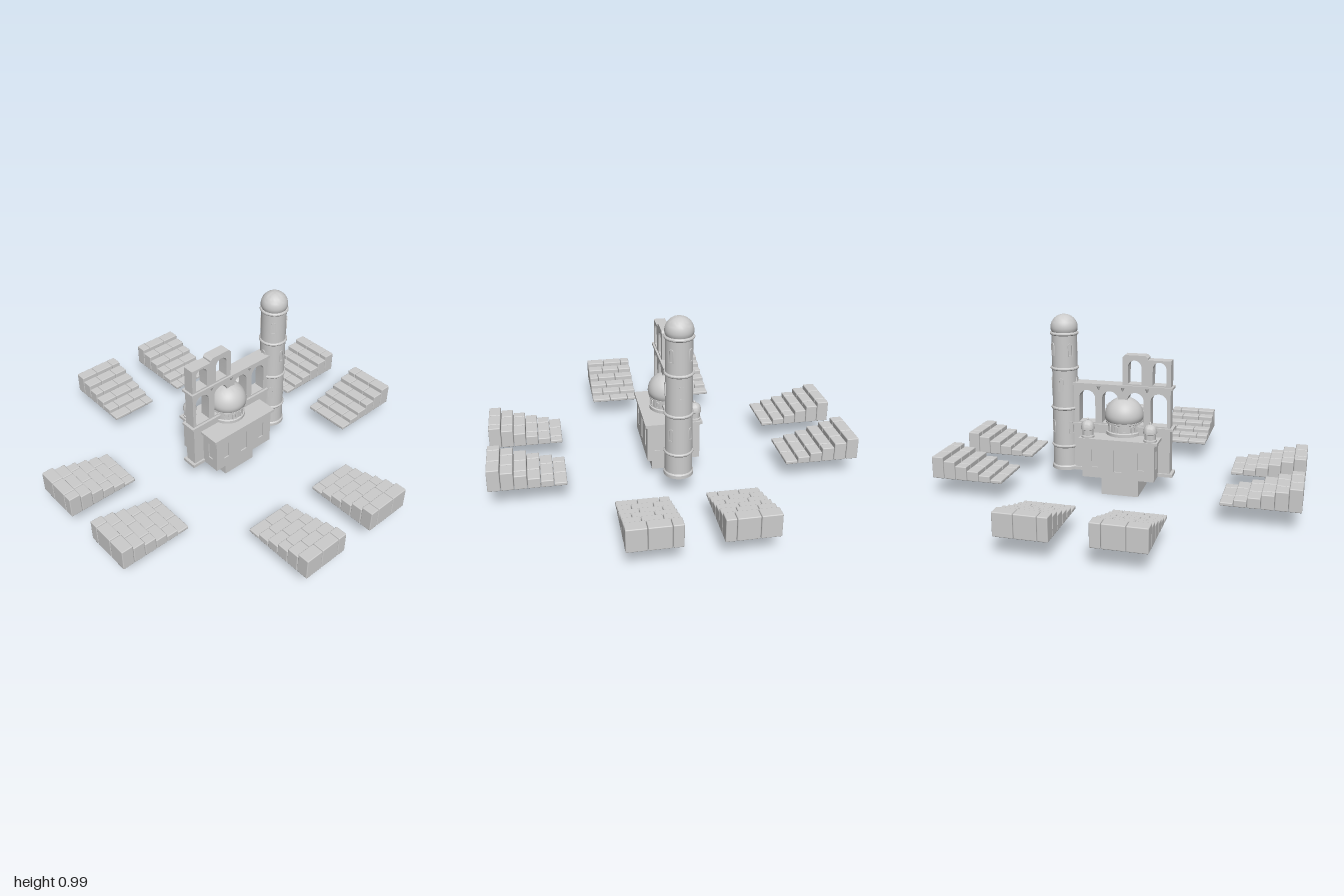
import * as THREE from 'three';
import { RoundedBoxGeometry } from 'three/addons/geometries/RoundedBoxGeometry.js';
import { toCreasedNormals } from 'three/addons/utils/BufferGeometryUtils.js';

const GROUND = 0.11;
const stone = new THREE.MeshStandardMaterial({ color: 0xcccccc, side: THREE.DoubleSide });

function add(parent, name, geometry, x = 0, y = 0, z = 0) {
  const mesh = new THREE.Mesh(geometry, stone);
  mesh.name = name;
  mesh.position.set(x, y, z);
  parent.add(mesh);
  return mesh;
}

function group(parent, name, x = 0, y = 0, z = 0) {
  const g = new THREE.Group();
  g.name = name;
  g.position.set(x, y, z);
  parent.add(g);
  return g;
}

// Box given by its extents
function block(parent, name, x0, x1, y0, y1, z0, z1) {
  return add(parent, name, new THREE.BoxGeometry(x1 - x0, y1 - y0, z1 - z0),
    (x0 + x1) / 2, (y0 + y1) / 2, (z0 + z1) / 2);
}

function lathe(points, segments = 32) {
  const profile = points.map(([r, y]) => new THREE.Vector2(r, y));
  return toCreasedNormals(new THREE.LatheGeometry(profile, segments), 0.6);
}

// Dome profile: quarter ellipse from its widest ring up to the crown
function domeArc(r, y, h, n = 10) {
  return Array.from({ length: n + 1 }, (_, i) => {
    const a = (i / n) * Math.PI / 2;
    return [i === n ? 0 : r * Math.cos(a), y + h * Math.sin(a)];
  });
}

function rectangle(x0, x1, y0, y1, Type = THREE.Shape) {
  const s = new Type();
  s.moveTo(x0, y0);
  s.lineTo(x1, y0);
  s.lineTo(x1, y1);
  s.lineTo(x0, y1);
  s.closePath();
  return s;
}

// Round-headed opening
function arch(cx, w, y0, top, Type = THREE.Path) {
  const s = new Type();
  s.moveTo(cx - w / 2, y0);
  s.lineTo(cx + w / 2, y0);
  s.lineTo(cx + w / 2, top - w / 2);
  s.absarc(cx, top - w / 2, w / 2, 0, Math.PI, false);
  s.closePath();
  return s;
}

function pierced(shape, holes, depth) {
  shape.holes.push(...holes);
  const g = new THREE.ExtrudeGeometry(shape, { depth, bevelEnabled: false, curveSegments: 10 });
  return toCreasedNormals(g.translate(0, 0, -depth / 2), 0.6);
}

function frame(w, h, border, depth) {
  return pierced(arch(0, w, -h / 2, h / 2, THREE.Shape),
    [arch(0, w - 2 * border, -h / 2 + border, h / 2 - border)], depth);
}

// Flight of masonry steps, tallest course on the outside
function buildSteps(parent, name, mirror) {
  const steps = group(parent, name);
  const heights = [0.123, 0.102, 0.079, 0.057, 0.038, 0.019];
  const widths = [[0.105, 0.115], [0.09, 0.105], [0.055, 0.11], [0.1, 0.115], [0.07, 0.11], [0.11, 0.11]];
  const total = 0.275, run = 0.41 / 6;
  heights.forEach((h, row) => {
    const [a, b] = widths[row];
    let x = -0.37;
    for (const w of [a, b, total - a - b]) {
      const g = new RoundedBoxGeometry(w - 0.002, h, run - 0.002, 2, 0.005);
      add(steps, 'stepBlock', g, mirror * (x + w / 2), GROUND - 0.003 + h / 2, 1 - run * (row + 0.5));
      x += w;
    }
  });
  return steps;
}

function buildHall(parent) {
  const hall = group(parent, 'prayerHall');
  block(hall, 'pedestal', -0.105, 0.105, 0, GROUND, -0.105, 0.105);
  block(hall, 'hallCore', -0.196, 0.196, GROUND, 0.325, -0.136, 0.136);
  block(hall, 'roofSlab', -0.22, 0.22, 0.32, 0.335, -0.156, 0.156);
  block(hall, 'roofMoulding', -0.207, 0.207, 0.31, 0.32, -0.148, 0.148);
  // Facings with niches and a central doorway
  const niche = (x, w, y0, y1) => rectangle(x - w / 2, x + w / 2, y0, y1, THREE.Path);
  for (const s of [1, -1]) {
    const facade = pierced(rectangle(-0.203, 0.203, GROUND, 0.32),
      [niche(-0.13, 0.035, 0.17, 0.27), niche(0, 0.045, 0.15, 0.275), niche(0.13, 0.035, 0.17, 0.27)], 0.008);
    add(hall, s > 0 ? 'frontFacing' : 'backFacing', facade, 0, 0, s * 0.14);
    const side = pierced(rectangle(-0.14, 0.14, GROUND, 0.32),
      [niche(-0.09, 0.03, 0.17, 0.27), niche(0.09, 0.03, 0.17, 0.27)], 0.007);
    add(hall, 'sideFacing', side, s * 0.1995).rotation.y = Math.PI / 2;
  }
  // Main dome on its windowed drum
  add(hall, 'domeDrum', lathe([[0, 0.335], [0.1, 0.335], [0.1, 0.352], [0.092, 0.356], [0.092, 0.398],
    [0.101, 0.402], [0.101, 0.41], [0.09, 0.412]]));
  add(hall, 'mainDome', lathe([[0.095, 0.405], [0.105, 0.42], ...domeArc(0.108, 0.438, 0.104, 14)], 40));
  for (let i = 0; i < 12; i++) {
    const a = (i + 0.5) / 12 * Math.PI * 2;
    add(hall, 'drumWindow', frame(0.024, 0.038, 0.005, 0.008), 0.093 * Math.sin(a), 0.378, 0.093 * Math.cos(a)).rotation.y = a;
  }
  // Small rear turrets
  for (const s of [-1, 1]) {
    add(hall, 'turret', lathe([[0, 0.335], [0.036, 0.335], [0.036, 0.345], [0.031, 0.348], [0.031, 0.378],
      [0.038, 0.382], [0.038, 0.39], ...domeArc(0.037, 0.394, 0.037, 8).slice(0, -1), [0.006, 0.431], [0.006, 0.438], [0, 0.447]], 24),
      s * 0.175, 0, -0.118);
  }
}

function buildArcade(parent) {
  const arcade = group(parent, 'arcadeWall', 0, 0, -0.003);
  block(arcade, 'wallFoot', -0.285, 0.285, GROUND, 0.128, -0.045, 0.045);
  block(arcade, 'lowerWall', -0.268, 0.28, 0.128, 0.375, -0.034, 0.034);
  block(arcade, 'lowerCornice', -0.285, 0.285, 0.375, 0.388, -0.045, 0.045);
  block(arcade, 'upperCornice', -0.28, 0.285, 0.604, 0.617, -0.043, 0.043);
  const openings = [-0.203, -0.072, 0.072, 0.203].map((x) => arch(x, 0.092, 0.395, 0.577));
  add(arcade, 'archTier', pierced(rectangle(-0.268, 0.28, 0.385, 0.606), openings, 0.064));
  // Corbels below the upper cornice
  for (const x of [-0.137, 0, 0.137]) for (const s of [-1, 1]) {
    const corbel = new THREE.CylinderGeometry(0.012, 0.003, 0.022, 8);
    add(arcade, 'corbel', corbel, x, 0.593, s * 0.033);
  }
  // Surviving bays of the broken top tier
  const ruin = new THREE.Shape();
  ruin.moveTo(-0.268, 0.615);
  for (const [x, y] of [[0, 0.615], [0, 0.772], [-0.012, 0.785], [-0.125, 0.785],
    [-0.14, 0.772], [-0.14, 0.762], [-0.268, 0.762]]) ruin.lineTo(x, y);
  ruin.closePath();
  add(arcade, 'ruinedTier', pierced(ruin, [arch(-0.205, 0.075, 0.625, 0.752), arch(-0.067, 0.075, 0.625, 0.757)], 0.064));
}

function buildMinaret(parent) {
  const tower = group(parent, 'minaret', 0.342, 0, 0);
  add(tower, 'towerShaft', lathe([[0, GROUND], [0.079, GROUND], [0.079, 0.128], [0.073, 0.135],
    [0.07, 0.89], [0, 0.89]]));
  for (const y of [0.247, 0.467, 0.692, 0.886]) {
    add(tower, 'towerRing', lathe([[0.068, y - 0.009], [0.075, y - 0.008], [0.079, y - 0.003],
      [0.079, y + 0.003], [0.075, y + 0.008], [0.068, y + 0.009]]));
  }
  add(tower, 'towerCap', lathe([[0.068, 0.892], [0.074, 0.905], ...domeArc(0.075, 0.917, 0.073)]));
  // Slit windows around each storey
  [0.36, 0.605, 0.8].forEach((y, storey) => {
    for (let i = 0; i < 4; i++) {
      const a = i * Math.PI / 2 + (storey === 1 ? 0 : Math.PI / 4);
      add(tower, 'slitWindow', frame(0.028, 0.072, 0.005, 0.008),
        0.0705 * Math.sin(a), y, 0.0705 * Math.cos(a)).rotation.y = a;
    }
  });
}

export function createModel() {
  const model = new THREE.Group();
  model.name = 'ruinedMosque';
  buildHall(model);
  buildArcade(model);
  buildMinaret(model);
  // A mirrored pair of flights on each of the four sides
  ['front', 'left', 'back', 'right'].forEach((side, i) => {
    const pair = group(model, side + 'Stairs');
    pair.rotation.y = i * Math.PI / 2;
    for (const m of [1, -1]) buildSteps(pair, 'stairFlight', m);
  });
  return model;
}
